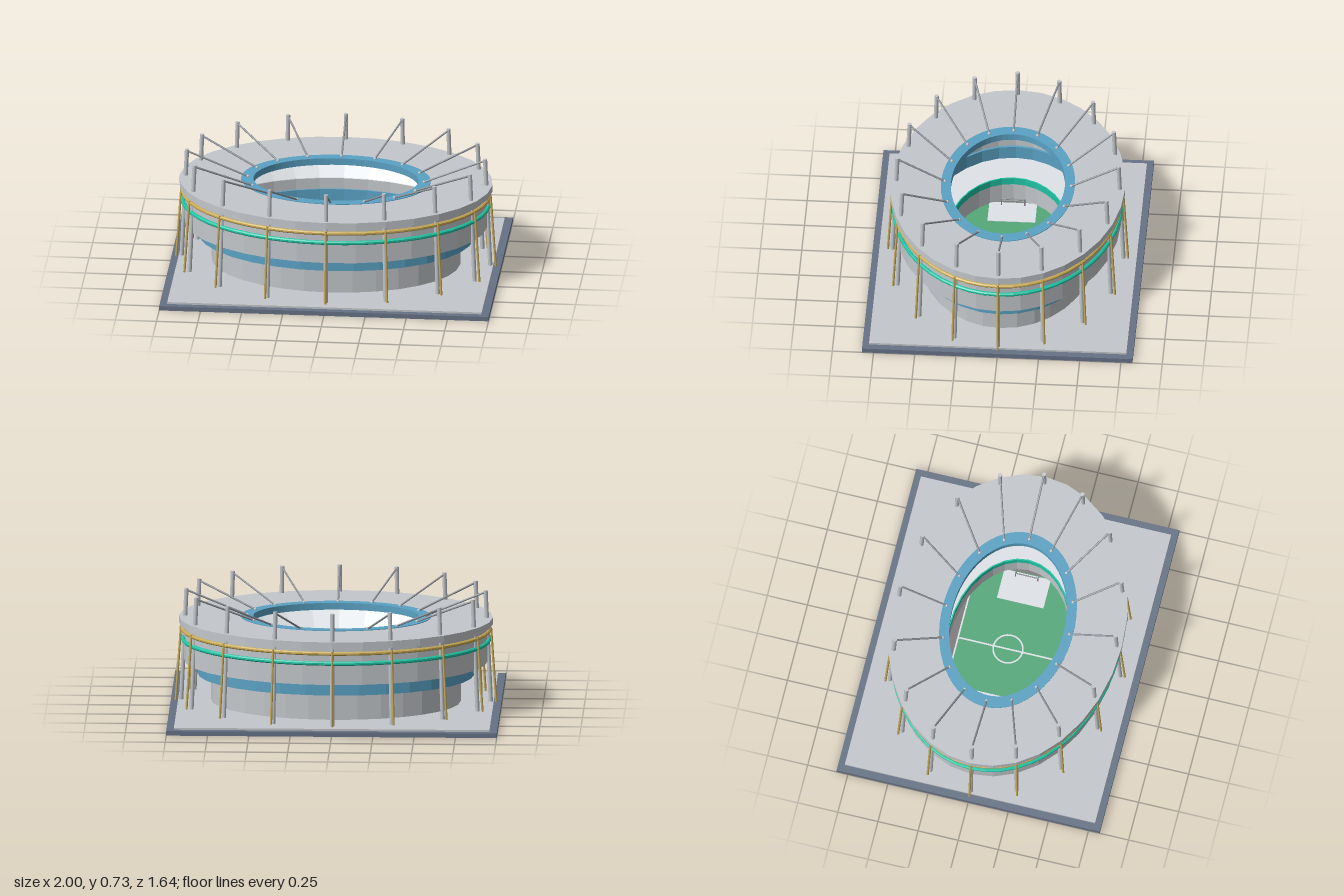
import * as THREE from 'three';

const mat = (name, color) => {
  const m = new THREE.MeshStandardMaterial({ color });
  m.name = name;
  return m;
};

export function createModel() {
  const root = new THREE.Group();
  const grey = mat('concrete grey', 0xc3c7cb);
  const slate = mat('slate', 0x667286);
  const blue = mat('blue', 0x5aa2c4);
  const teal = mat('teal', 0x1fc4a4);
  const gold = mat('gold', 0xc9ab55);
  const green = mat('grass green', 0x55a87a);
  const white = mat('white', 0xe4e8ec);
  const steel = mat('cable steel', 0x8f949a);
  const track = mat('track', 0x7d7a7c);

  const add = (name, geo, material, parent = root) => {
    const m = new THREE.Mesh(geo, material);
    m.name = name;
    parent.add(m);
    return m;
  };
  const box = (name, w, h, d, x, y, z, material, parent) =>
    add(name, new THREE.BoxGeometry(w, h, d), material, parent).position.set(x, y, z);

  // Faceted elliptical ring: sweeps section points [radiusX, radiusZ, y].
  // Points run up the outside; a closed section returns down the inside.
  const ring = (name, section, material, closed = true, sides = 32) => {
    const pos = [];
    const at = ([a, b, y], i) => {
      const t = (i / sides) * Math.PI * 2;
      return [a * Math.cos(t), y, b * Math.sin(t)];
    };
    const n = closed ? section.length : section.length - 1;
    for (let i = 0; i < sides; i++) {
      for (let j = 0; j < n; j++) {
        const p = section[j], q = section[(j + 1) % section.length];
        pos.push(...at(p, i), ...at(q, i), ...at(p, i + 1));
        pos.push(...at(q, i), ...at(q, i + 1), ...at(p, i + 1));
      }
    }
    const g = new THREE.BufferGeometry();
    g.setAttribute('position', new THREE.Float32BufferAttribute(pos, 3));
    g.computeVertexNormals();
    return add(name, g, material);
  };
  const slab = (name, a, b, ai, bi, y0, y1, material, sides) =>
    ring(name, [[a, b, y0], [a, b, y1], [ai, bi, y1], [ai, bi, y0]], material, true, sides);
  const rail = (name, a, b, y, r, material) => {
    const section = [];
    for (let k = 0; k < 8; k++) {
      const t = ((k + 0.5) / 8) * Math.PI * 2;
      section.push([a + r * Math.cos(t), b + r * Math.sin(t + Math.PI / 2), y + r * Math.sin(t)]);
    }
    return ring(name, section, material, true, 48);
  };

  // Round bar between two points
  const bar = (name, from, to, r, material, parent) => {
    const p = new THREE.Vector3(...from), q = new THREE.Vector3(...to);
    const m = add(name, new THREE.CylinderGeometry(r, r, p.distanceTo(q), 8), material, parent);
    m.position.copy(p).add(q).multiplyScalar(0.5);
    m.quaternion.setFromUnitVectors(new THREE.Vector3(0, 1, 0), q.sub(p).normalize());
  };

  // Ground
  box('basePlate', 2, 0.028, 1.64, 0, 0.014, 0, slate);
  box('plaza', 1.91, 0.012, 1.56, 0, 0.034, 0, grey);

  // Stands: three stacked tiers, widening upward
  slab('lowerTier', 0.755, 0.535, 0.525, 0.365, 0.035, 0.205, grey);
  slab('middleTier', 0.837, 0.6, 0.735, 0.525, 0.205, 0.292, blue);
  ring('upperTier', [[0.92, 0.685, 0.29], [0.92, 0.685, 0.52], [0.9, 0.665, 0.52],
    [0.75, 0.535, 0.36], [0.75, 0.535, 0.29]], grey);
  ring('lowerSeats', [[0.735, 0.525, 0.209], [0.525, 0.365, 0.209]], white, false);
  ring('upperSeats', [[0.9, 0.665, 0.524], [0.75, 0.535, 0.364]], white, false);
  slab('innerBoard', 0.53, 0.37, 0.522, 0.362, 0.17, 0.215, teal);

  // Roof with its inner rim
  slab('roof', 0.95, 0.71, 0.57, 0.4, 0.518, 0.56, grey);
  slab('roofRim', 0.575, 0.405, 0.5, 0.345, 0.522, 0.564, blue, 64);

  // Rails around the facade
  rail('upperRail', 0.93, 0.692, 0.486, 0.012, gold);
  rail('lowerRail', 0.928, 0.69, 0.424, 0.013, teal);

  // Masts, gold struts and roof cables
  for (let i = 0; i < 16; i++) {
    const t = (i / 16) * Math.PI * 2, c = Math.cos(t), s = Math.sin(t);
    const at = (a, b, y) => [a * c, y, b * s];
    const bay = new THREE.Group();
    bay.name = 'supportBay';
    root.add(bay);
    bar('mast', at(0.937, 0.7, 0.036), at(0.905, 0.67, 0.728), 0.013, grey, bay);
    bar('strut', at(0.97, 0.728, 0.036), at(0.938, 0.7, 0.5), 0.007, gold, bay);
    bar('cable', at(0.905, 0.67, 0.718), at(0.535, 0.383, 0.566), 0.006, steel, bay);
    add('cableAnchor', new THREE.SphereGeometry(0.01, 8, 6), grey, bay)
      .position.set(...at(0.535, 0.383, 0.566));
  }

  // Pitch and markings
  const floor = add('track', new THREE.CircleGeometry(1, 48), track);
  floor.scale.set(0.53, 0.37, 1);
  floor.rotation.x = -Math.PI / 2;
  floor.position.y = 0.042;
  box('pitch', 1, 0.006, 0.62, 0, 0.044, 0, green);
  box('halfwayLine', 0.01, 0.004, 0.62, 0, 0.048, 0, white);
  const circle = add('centreCircle', new THREE.RingGeometry(0.085, 0.095, 40), white);
  circle.rotation.x = -Math.PI / 2;
  circle.position.y = 0.05;
  for (const d of [-1, 1]) {
    box('touchLine', 0.9, 0.004, 0.01, 0, 0.048, d * 0.311, white);
    box('penaltyArea', 0.19, 0.004, 0.29, d * 0.4, 0.048, 0, white);
    // Goal frame
    const goal = new THREE.Group();
    goal.name = 'goal';
    root.add(goal);
    bar('crossbar', [d * 0.468, 0.095, -0.07], [d * 0.468, 0.095, 0.07], 0.004, steel, goal);
    for (const e of [-1, 1]) {
      bar('goalPost', [d * 0.468, 0.05, e * 0.07], [d * 0.468, 0.097, e * 0.07], 0.004, steel, goal);
      bar('goalStay', [d * 0.468, 0.095, e * 0.07], [d * 0.492, 0.05, e * 0.07], 0.003, steel, goal);
    }
  }
  return root;
}
